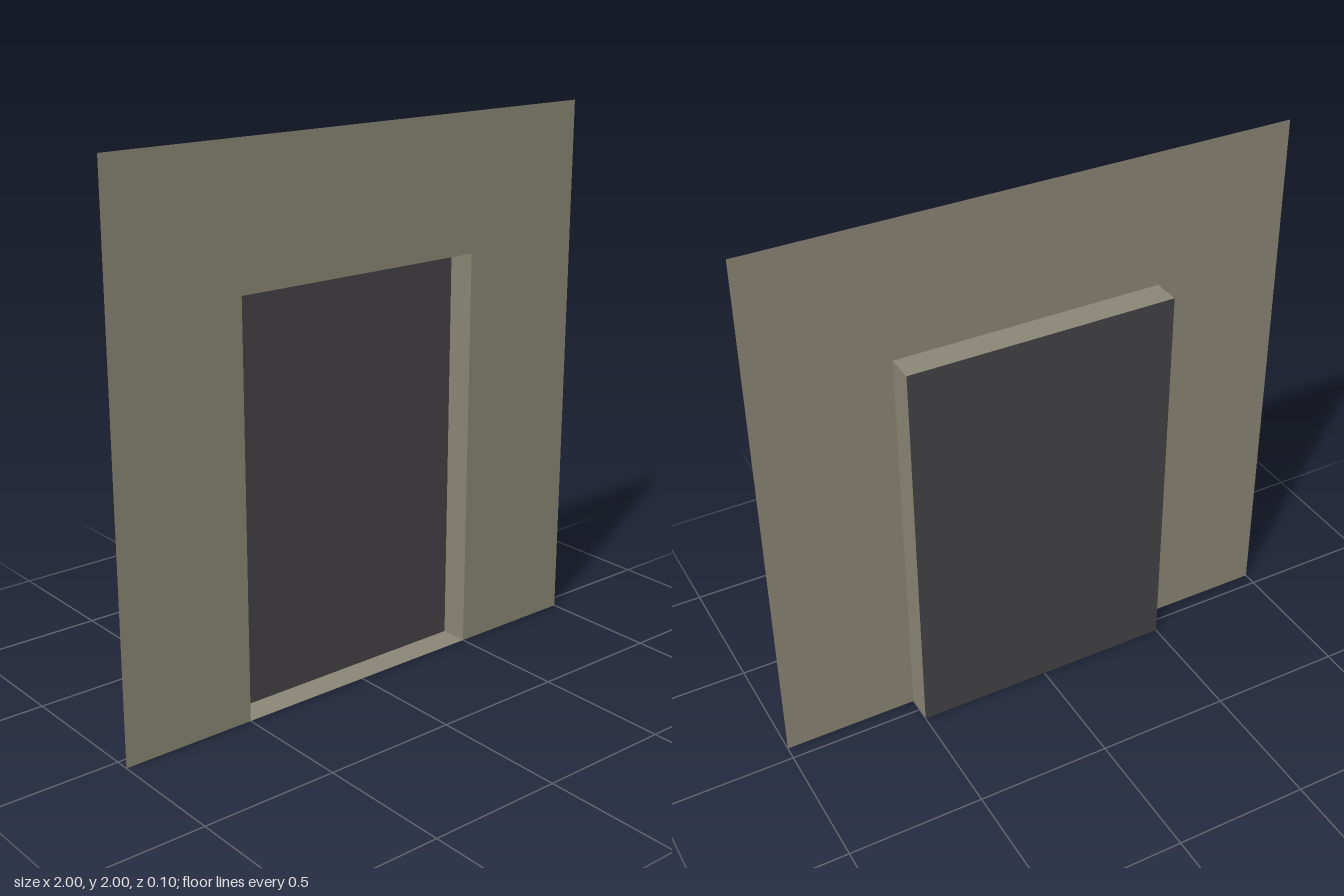
import * as THREE from 'three';

const W = 1, H = 1.5, FRONT = 0.052, BACK = -0.052;

export function createModel() {
  const group = new THREE.Group();
  const wallMat = new THREE.MeshStandardMaterial({ color: 0x8c8877, side: THREE.DoubleSide });
  const doorMat = new THREE.MeshStandardMaterial({ color: 0x454347, side: THREE.DoubleSide });

  const add = (name, geometry, material, x, y, z) => {
    const mesh = new THREE.Mesh(geometry, material);
    mesh.name = name;
    mesh.position.set(x, y, z);
    group.add(mesh);
    return mesh;
  };

  // Thin wall sheet with a doorway open at the bottom
  const wall = new THREE.Shape([
    [-1, 0], [-W / 2, 0], [-W / 2, H], [W / 2, H], [W / 2, 0], [1, 0], [1, 2], [-1, 2],
  ].map(([x, y]) => new THREE.Vector2(x, y)));
  add('wall', new THREE.ShapeGeometry(wall), wallMat, 0, 0, FRONT);

  // Recessed door panel
  add('door', new THREE.PlaneGeometry(W, H), doorMat, 0, H / 2, BACK);

  // Side reveals, facing into the doorway
  const depth = FRONT - BACK;
  for (const [name, side] of [['leftReveal', 1], ['rightReveal', -1]]) {
    add(name, new THREE.PlaneGeometry(depth, H), wallMat, side * W / 2, H / 2, 0)
      .rotation.y = -side * Math.PI / 2;
  }

  // Lintel above and threshold below
  for (const [name, y, turn] of [['lintel', H, 1], ['threshold', 0, -1]]) {
    add(name, new THREE.PlaneGeometry(W, depth), wallMat, 0, y, 0).rotation.x = turn * Math.PI / 2;
  }
  return group;
}
